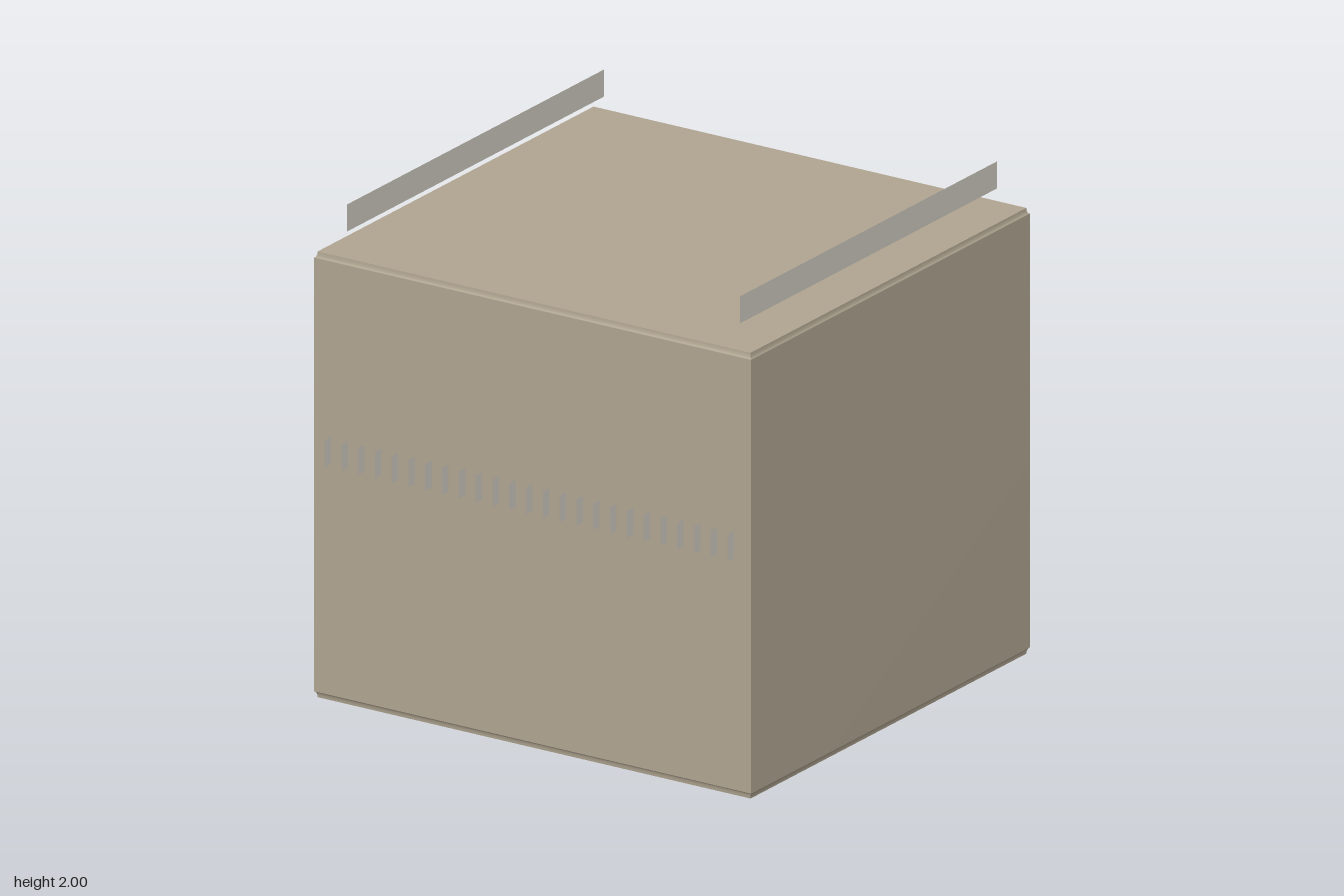
import * as THREE from 'three';

const W = 1, D = 0.955, H = 1.81; // body half width, half depth, height
const bodyMat = new THREE.MeshStandardMaterial({ color: 0xb0a591 });
const plateMat = new THREE.MeshStandardMaterial({ color: 0xcecabf, side: THREE.DoubleSide });

// Rectangular sections with a small soft edge at the bottom and top
function bodyGeometry() {
  const edgeH = 0.025, inset = 0.01, steps = 4;
  const rows = [];
  for (let i = 0; i <= steps; i++) {
    const a = (i / steps) * Math.PI / 2;
    rows.push([edgeH * (1 - Math.sin(a)), inset * (1 - Math.cos(a))]);
  }
  rows.reverse(); // now from the side wall down to the base edge... a = 90deg first
  const low = rows.map(([y, k]) => [edgeH - y, inset - k]).sort((a, b) => a[0] - b[0]);
  const high = low.map(([y, k]) => [H - y, k]).reverse();
  const profile = [...low, ...high];
  const corners = [[-1, 1], [1, 1], [1, -1], [-1, -1]];
  const pos = [], idx = [];
  // each wall has its own vertices, so the upright corners stay sharp
  for (let s = 0; s < 4; s++) {
    const base = pos.length / 3;
    for (const [y, k] of profile) {
      for (const c of [corners[s], corners[(s + 1) % 4]]) pos.push(c[0] * (W - k), y, c[1] * (D - k));
    }
    for (let r = 0; r < profile.length - 1; r++) {
      const a = base + r * 2;
      idx.push(a, a + 1, a + 3, a, a + 3, a + 2);
    }
  }
  // top and bottom faces
  for (const [y, k] of [profile[0], profile[profile.length - 1]]) {
    const b = pos.length / 3;
    for (const c of corners) pos.push(c[0] * (W - k), y, c[1] * (D - k));
    if (y > H / 2) idx.push(b, b + 1, b + 2, b, b + 2, b + 3);
    else idx.push(b, b + 2, b + 1, b, b + 3, b + 2);
  }
  const g = new THREE.BufferGeometry();
  g.setAttribute('position', new THREE.Float32BufferAttribute(pos, 3));
  g.setIndex(idx);
  g.computeVertexNormals();
  return g;
}

// Thin upright plate lying in the y-z plane
function plate(name, x, y, z, height, depth) {
  const g = new THREE.PlaneGeometry(depth, height).rotateY(Math.PI / 2);
  const m = new THREE.Mesh(g, plateMat);
  m.name = name;
  m.position.set(x, y, z);
  return m;
}

export function createModel() {
  const model = new THREE.Group();
  model.name = 'slattedBox';

  const body = new THREE.Mesh(bodyGeometry(), bodyMat);
  body.name = 'body';
  model.add(body);

  // Long rails floating above the top
  model.add(plate('leftRail', 0.898, 1.945, 0, 0.11, 1.76));
  model.add(plate('rightRail', -0.898, 1.945, 0, 0.11, 1.76));

  // Rows of small fins on the front and back
  for (const side of [1, -1]) {
    const row = new THREE.Group();
    row.name = side > 0 ? 'frontFins' : 'backFins';
    for (let i = 0; i < 25; i++) {
      row.add(plate('fin', (i - 12) * 0.0768, 1.02, side * 0.9775, 0.11, 0.045));
    }
    model.add(row);
  }
  return model;
}
